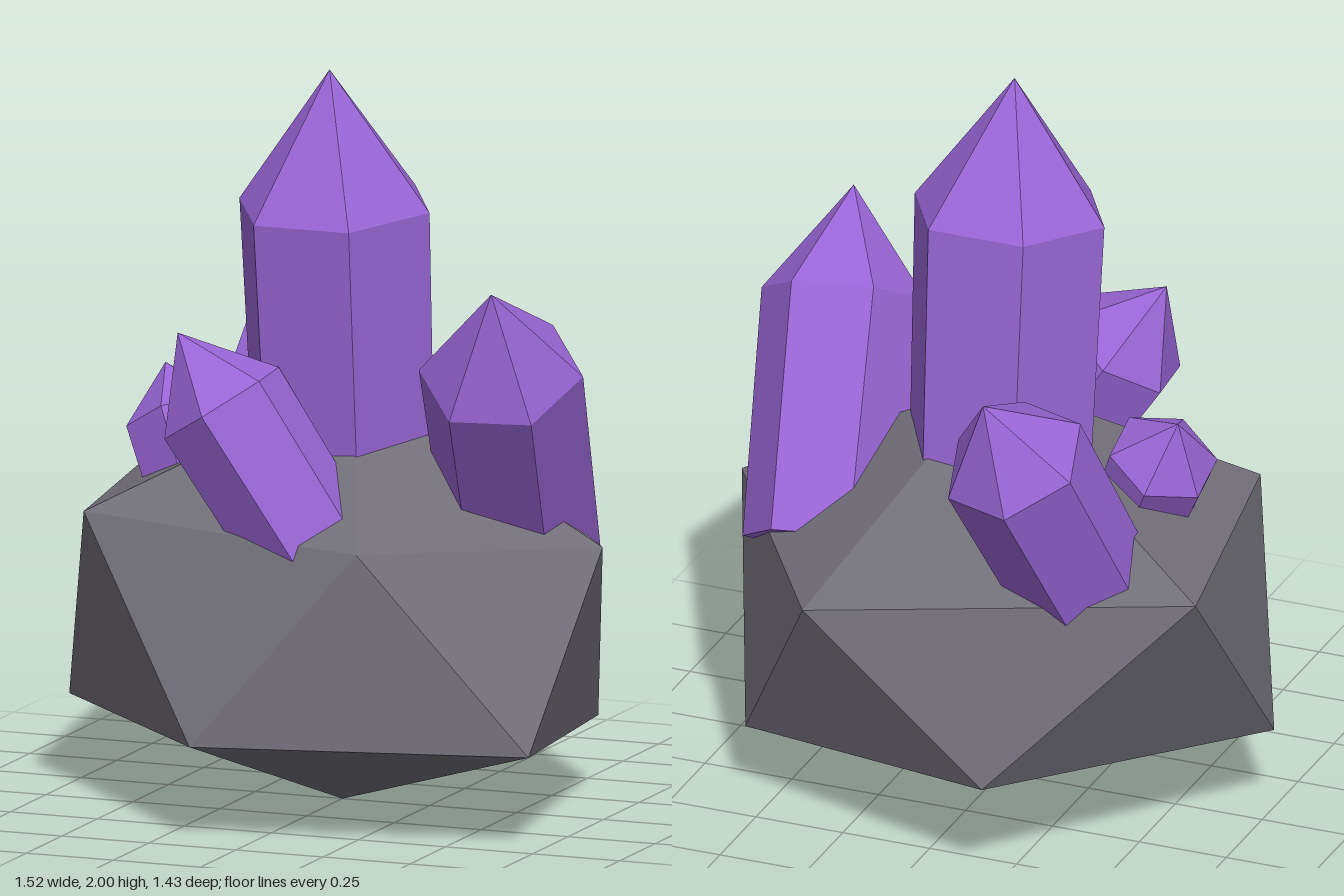
import * as THREE from 'three';

const rockMat = new THREE.MeshStandardMaterial({ color: 0x716e78, flatShading: true });
rockMat.name = 'stone grey';
const crystalMat = new THREE.MeshStandardMaterial({ color: 0x9966d6, flatShading: true });
crystalMat.name = 'crystal purple';

// Irregular twenty-sided boulder: two rings of five corners between two poles
function makeRock() {
  const bottom = [0, 0, 0];
  const top = [0.04, 1.14, 0.03];
  const lower = [[-0.15, 0.26, 0.71], [0.73, 0.255, 0.48], [0.58, 0.2, -0.38], [-0.22, 0.29, -0.67], [-0.76, 0.24, 0.06]];
  const upper = [[0.26, 0.78, 0.54], [0.76, 0.745, 0.03], [0.3, 0.72, -0.66], [-0.72, 0.8, -0.39], [-0.58, 0.81, 0.4]];
  const corners = [];
  for (let i = 0; i < 5; i++) {
    const j = (i + 1) % 5;
    corners.push(
      bottom, lower[j], lower[i],
      lower[i], lower[j], upper[i],
      upper[i], lower[j], upper[j],
      top, upper[i], upper[j],
    );
  }
  const geo = new THREE.BufferGeometry();
  geo.setAttribute('position', new THREE.Float32BufferAttribute(corners.flat(), 3));
  geo.computeVertexNormals();
  const rock = new THREE.Mesh(geo, rockMat);
  rock.name = 'rock';
  return rock;
}

// Six-sided pointed crystal, placed by the middle of its shoulder and its tip
function makeCrystal({ name, shoulder, tip, radius, length, turn }) {
  const centre = new THREE.Vector3(...shoulder);
  const axis = new THREE.Vector3(...tip).sub(centre);
  const tipHeight = axis.length();
  const profile = [[0, -length], [radius * 0.95, -length], [radius, 0], [0, tipHeight]]
    .map(([r, y]) => new THREE.Vector2(r, y));
  const geo = new THREE.LatheGeometry(profile, 6);
  geo.rotateY(THREE.MathUtils.degToRad(turn));
  const crystal = new THREE.Mesh(geo, crystalMat);
  crystal.position.copy(centre);
  crystal.quaternion.setFromUnitVectors(new THREE.Vector3(0, 1, 0), axis.normalize());
  crystal.name = name;
  return crystal;
}

const crystals = [
  { name: 'mainCrystal', shoulder: [0.01, 1.625, 0.08], tip: [0.01, 2, 0.115], radius: 0.273, length: 0.75, turn: 30 },
  { name: 'leftCrystal', shoulder: [0.535, 1.23, 0.195], tip: [0.57, 1.475, 0.35], radius: 0.222, length: 0.667, turn: 42 },
  { name: 'backCrystal', shoulder: [-0.263, 1.215, -0.547], tip: [-0.22, 1.42, -0.66], radius: 0.202, length: 0.49, turn: 10 },
  { name: 'frontCrystal', shoulder: [-0.19, 1.13, 0.385], tip: [-0.31, 1.315, 0.4], radius: 0.182, length: 0.5, turn: 5 },
  { name: 'smallCrystal', shoulder: [-0.46, 1.01, 0.015], tip: [-0.52, 1.14, -0.03], radius: 0.15, length: 0.22, turn: 5 },
];

export function createModel() {
  const model = new THREE.Group();
  model.name = 'crystalCluster';
  model.add(makeRock(), ...crystals.map(makeCrystal));
  return model;
}
